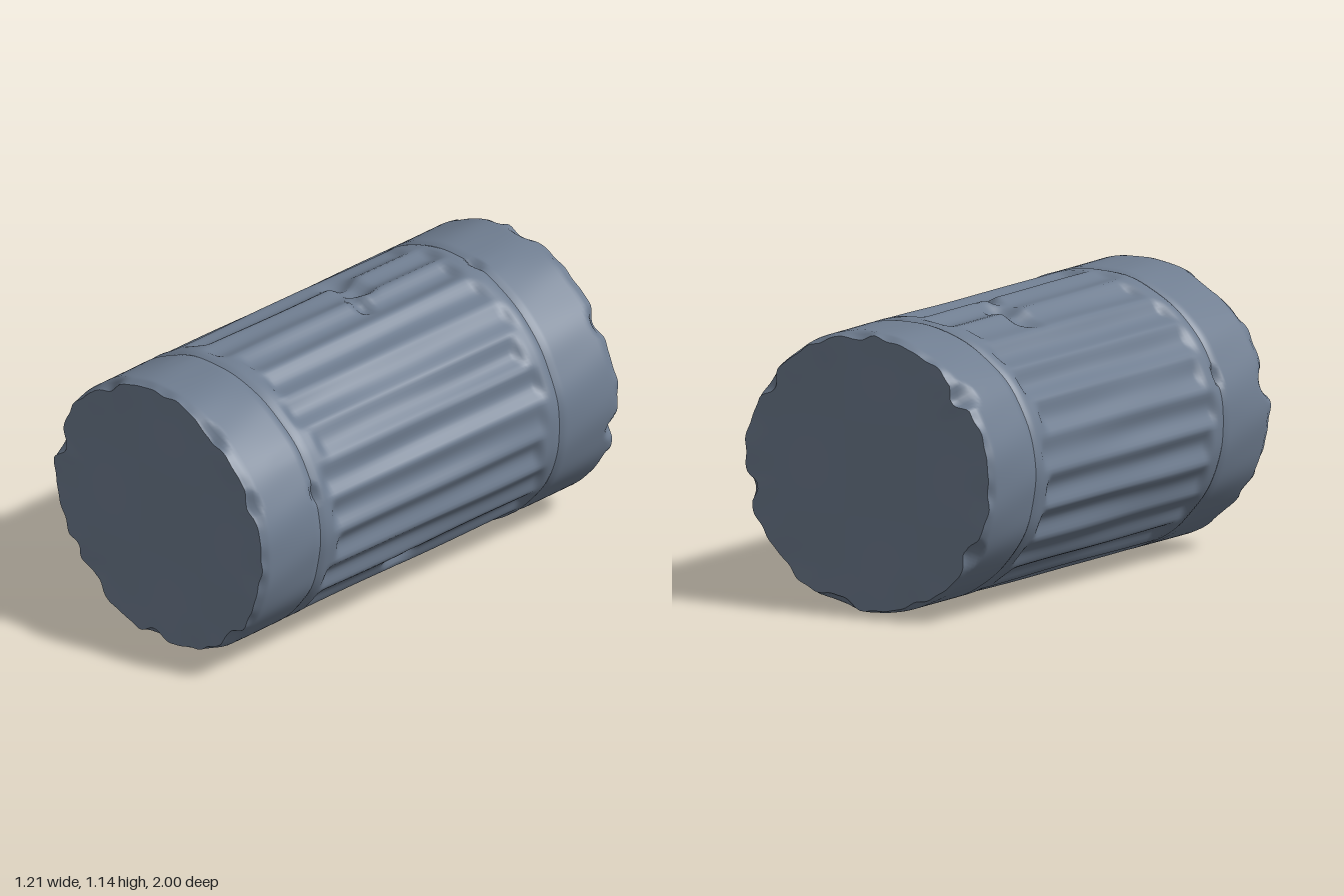
import * as THREE from 'three';

const RX = 0.603, RY = 0.574, CY = 0.577, END = 0.992;
const SEG = 240, FLUTES = 24, TAU = Math.PI * 2;
const stone = new THREE.MeshStandardMaterial({ color: 0x6f7d90 });
stone.name = 'slate stone';

// Chips: [angle in degrees, z, depth, half width in radians, half length]
const chips = [
  [104, -0.19, 0.035, 0.3, 0.09], [88, -0.11, 0.03, 0.14, 0.05],
  [-38, 0.09, 0.045, 0.13, 0.11],
  [168, 0.99, 0.04, 0.14, 0.07], [-92, 0.99, 0.03, 0.16, 0.06],
  [27, 0.99, 0.025, 0.12, 0.05], [118, 0.99, 0.025, 0.2, 0.05],
  [60, 0.99, 0.02, 0.15, 0.05], [-130, 0.99, 0.025, 0.15, 0.06],
  [-45, 0.99, 0.02, 0.15, 0.05], [215, 0.99, 0.025, 0.1, 0.05],
  [140, -0.99, 0.045, 0.13, 0.09], [35, -0.99, 0.03, 0.15, 0.06],
  [-12, -0.99, 0.04, 0.12, 0.07], [-75, -0.99, 0.025, 0.2, 0.06],
  [-150, -0.99, 0.035, 0.14, 0.06], [85, -0.99, 0.02, 0.15, 0.05],
  [20, 0.67, 0.02, 0.1, 0.03], [160, 0.66, 0.02, 0.1, 0.03],
  [80, -0.67, 0.02, 0.1, 0.03], [-60, -0.9, 0.025, 0.1, 0.03],
];
const smooth = (e0, e1, x) => THREE.MathUtils.smoothstep(x, e0, e1);
const wobble = (a, z) => Math.sin(5 * a + 4 * z) * 0.4 + Math.sin(11 * a - 7 * z) * 0.35 + Math.sin(17 * a + 13 * z) * 0.25;

// Distance the worn surface is cut in from the smooth drum
function inset(a, z) {
  const az = Math.abs(z);
  let d = 0.003 + 0.004 * wobble(a, z * 0.6);
  // Concave flutes with rounded ends and a little variety in their length
  const id = Math.floor(a / TAU * FLUTES);
  const end = 0.61 + 0.025 * Math.sin(id * 2.4);
  const across = Math.abs(Math.sin(a * FLUTES / 2));
  const worn = 0.8 + 0.2 * Math.sin(id * 1.7 + z * 2);
  d += 0.03 * Math.pow(across, 1.4) * worn * (1 - smooth(end - 0.05, end, az));
  // Shallow seam beside each collar and a softened outer rim
  d += 0.009 * Math.exp(-(((az - 0.665) / 0.014) ** 2));
  d += 0.014 * smooth(0.955, END, az) * (1 + 0.7 * wobble(a * 2, z));
  for (const [deg, cz, depth, w, l] of chips) {
    let da = a - deg * Math.PI / 180;
    da = Math.atan2(Math.sin(da), Math.cos(da)) / w;
    const r = Math.hypot(da, (z - cz) / l);
    if (r < 1) d += depth * (1 - smooth(0.15, 1, r));
  }
  return Math.max(d, 0);
}

// Closed rings joined into one smooth skin
function skin(name, rings, pointAt) {
  const pos = [], index = [];
  for (let j = 0; j <= rings; j++) {
    for (let i = 0; i < SEG; i++) pos.push(...pointAt(i / SEG * TAU, j / rings));
  }
  for (let j = 0; j < rings; j++) {
    for (let i = 0; i < SEG; i++) {
      const k = (i + 1) % SEG, a = j * SEG + i, b = j * SEG + k;
      index.push(a, b, b + SEG, a, b + SEG, a + SEG);
    }
  }
  const g = new THREE.BufferGeometry();
  g.setAttribute('position', new THREE.Float32BufferAttribute(pos, 3));
  g.setIndex(index);
  g.computeVertexNormals();
  const mesh = new THREE.Mesh(g, stone);
  mesh.name = name;
  return mesh;
}

const endShift = (a, z) => Math.sign(z) * 0.007 * wobble(a, z) * smooth(0.9, END, Math.abs(z));
function sidePoint(a, z) {
  const d = inset(a, z);
  return [Math.cos(a) * (RX - d), CY + Math.sin(a) * (RY - d), z + endShift(a, z)];
}

function band(name, z0, z1, rings) {
  return skin(name, rings, (a, t) => sidePoint(a, z0 + (z1 - z0) * t));
}

// Uneven end face, from the chipped rim in to the centre
function endFace(name, side) {
  return skin(name, 14, (a, t) => {
    const s = side > 0 ? 1 - t : t;
    const [x, y, z] = sidePoint(a, side * END);
    const px = x * s, py = CY + (y - CY) * s;
    const uneven = 0.005 * Math.sin(px * 9 + side) * Math.cos(py * 8);
    const flat = side * (END - 0.002) + uneven;
    return [px, py, THREE.MathUtils.lerp(flat, z, smooth(0.8, 1, s))];
  });
}

export function createModel() {
  const group = new THREE.Group();
  group.name = 'columnDrum';
  // endFace for the front runs rim to centre so both faces turn outward
  group.add(
    band('flutedShaft', -0.665, 0.665, 90),
    band('frontCollar', 0.665, END, 24),
    band('backCollar', -END, -0.665, 24),
    endFace('frontFace', 1),
    endFace('backFace', -1),
  );
  return group;
}
